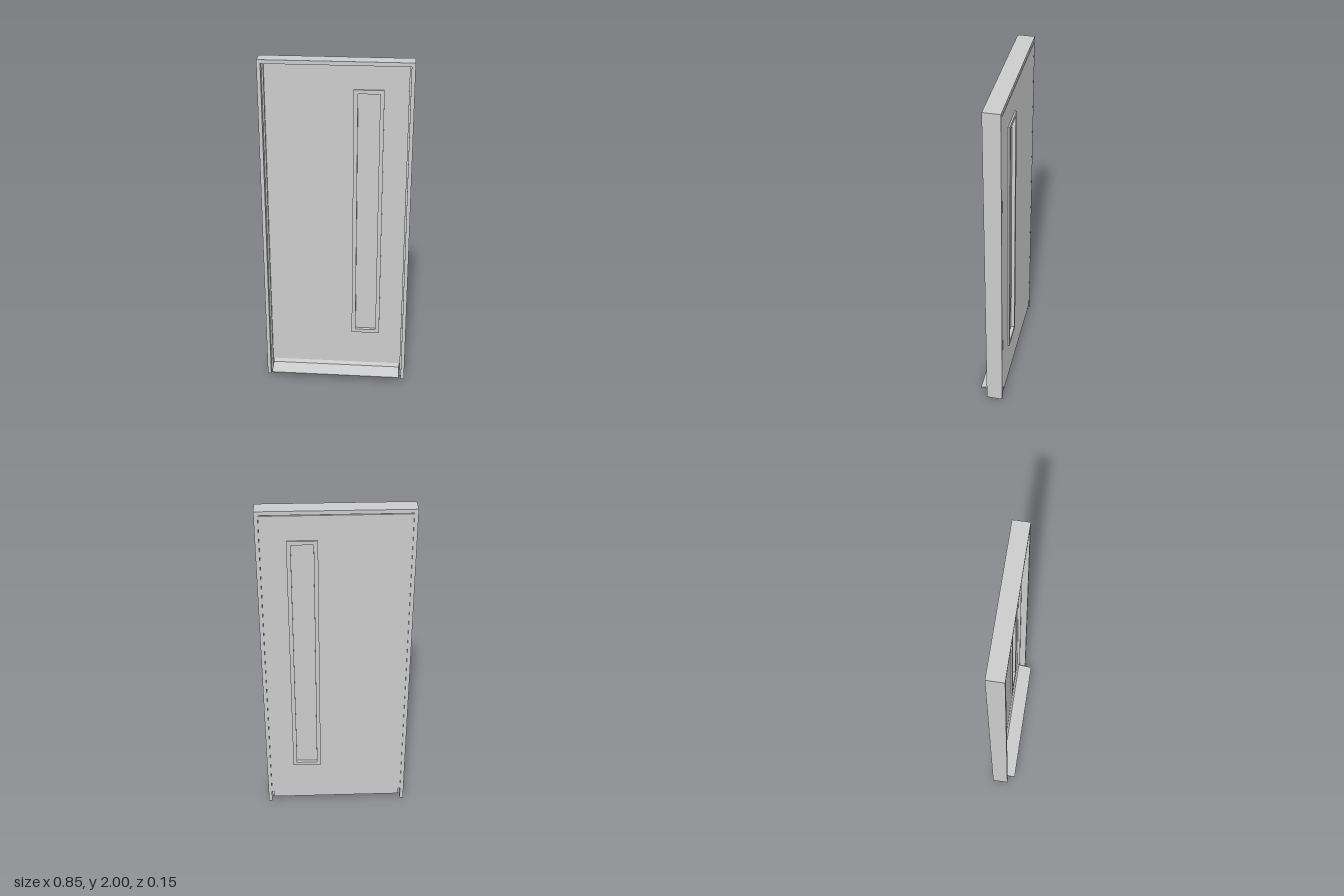
import * as THREE from 'three';

const material = new THREE.MeshStandardMaterial({ color: 0xcccccc, flatShading: true });

// Extrude a shape drawn in x/y from z0 (back) to z1 (front)
function slabOf(name, shape, z0, z1) {
  const geo = new THREE.ExtrudeGeometry(shape, { depth: z1 - z0, bevelEnabled: false });
  geo.translate(0, 0, z0);
  const mesh = new THREE.Mesh(geo, material);
  mesh.name = name;
  return mesh;
}

const polygon = (pts) => new THREE.Shape(pts.map(([x, y]) => new THREE.Vector2(x, y)));
const rect = (x0, x1, y0, y1) => polygon([[x0, y0], [x1, y0], [x1, y1], [x0, y1]]);

// Door-shaped arch: two legs and a head, open at the bottom
function arch(outerX, outerY, innerX, innerY, bottom = 0) {
  return polygon([
    [-outerX, bottom], [-innerX, bottom], [-innerX, innerY], [innerX, innerY],
    [innerX, bottom], [outerX, bottom], [outerX, outerY], [-outerX, outerY],
  ]);
}

export function createModel() {
  const group = new THREE.Group();
  group.name = 'door';

  const back = -0.066, front = 0.029, leafFront = -0.024;
  const opening = { x0: 0.118, x1: 0.239, y0: 0.322, y1: 1.81 };
  const trim = { x0: 0.095, x1: 0.262, y0: 0.3, y1: 1.832 };

  // Jambs and head, with a raised stop in front of the leaf
  group.add(slabOf('frame', arch(0.424, 2, 0.403, 1.978), back, front));
  group.add(slabOf('doorStop', arch(0.403, 1.978, 0.394, 1.969), leafFront, -0.008));

  // Door leaf with the window cut out
  const cut = () => rect(opening.x0, opening.x1, opening.y0, opening.y1);
  const leaf = rect(-0.402, 0.402, 0.08, 1.974);
  leaf.holes.push(cut());
  group.add(slabOf('leaf', leaf, back, leafFront));

  // Window trim on both faces
  for (const [name, z0, z1] of [
    ['backWindowTrim', back - 0.009, back],
    ['frontWindowTrim', leafFront, leafFront + 0.009],
  ]) {
    const ring = rect(trim.x0, trim.x1, trim.y0, trim.y1);
    ring.holes.push(cut());
    group.add(slabOf(name, ring, z0, z1));
  }

  // Glass pane, recessed from both sides
  group.add(slabOf('glass', cut(), -0.055, -0.035));

  // Sloping sill: profile drawn as (-z, y), extruded across the width
  const profile = polygon([
    [-0.073, 0.037], [0.066, 0.037], [0.066, 0.08], [0.026, 0.08],
    [0.013, 0.06], [-0.073, 0.041],
  ]);
  const sill = slabOf('sill', profile, -0.39, 0.39);
  sill.geometry.rotateY(Math.PI / 2);
  group.add(sill);

  return group;
}
